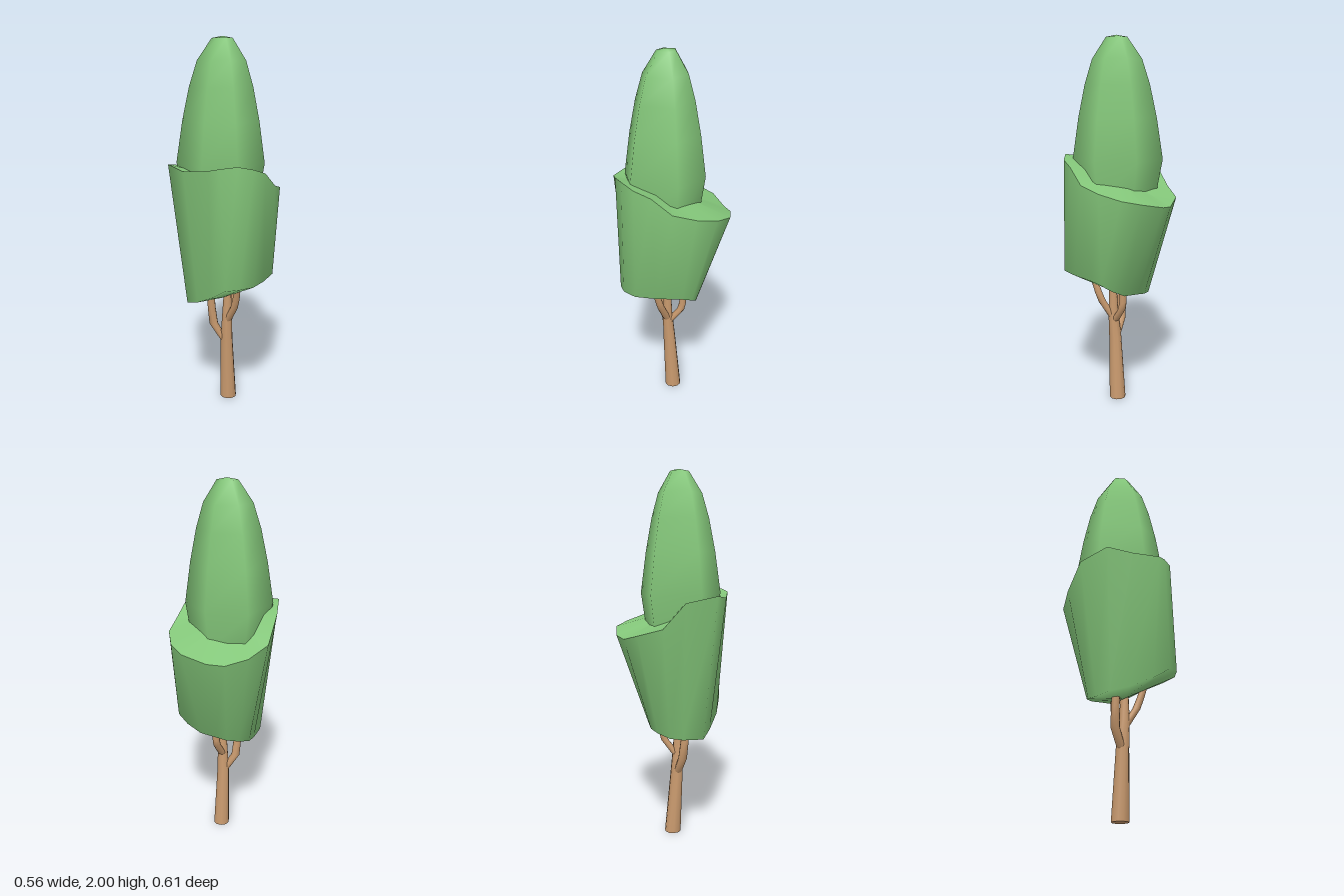
import * as THREE from 'three';

const leaf = new THREE.MeshStandardMaterial({ color: 0x84c77a, side: THREE.DoubleSide });
const bark = new THREE.MeshStandardMaterial({ color: 0xc99a6e });

// Skin a stack of closed rings (each an array of [x, y, z], running from +x towards +z).
function loft(name, rings, material) {
  const n = rings[0].length;
  const index = [];
  for (let r = 0; r < rings.length - 1; r++) {
    for (let i = 0; i < n; i++) {
      const j = (i + 1) % n;
      const a = r * n + i, b = r * n + j, c = a + n, d = b + n;
      index.push(a, c, b, b, c, d);
    }
  }
  const geometry = new THREE.BufferGeometry();
  geometry.setAttribute('position', new THREE.Float32BufferAttribute(rings.flat(2), 3));
  geometry.setIndex(index);
  geometry.computeVertexNormals();
  const mesh = new THREE.Mesh(geometry, material);
  mesh.name = name;
  return mesh;
}

const point = (p, n) => Array.from({ length: n }, () => p);

function circle([x, y, z, radius], sides = 10) {
  return Array.from({ length: sides }, (_, i) => {
    const a = (i / sides) * Math.PI * 2;
    return [x + Math.cos(a) * radius, y, z + Math.sin(a) * radius];
  });
}

// A limb follows stations of [x, y, z, radius].
const limb = (name, stations) => loft(name, stations.map((s) => circle(s)), bark);

function createTrunk() {
  const trunk = new THREE.Group();
  trunk.name = 'trunk';
  const foot = [0.02, 0, 0, 0.045];
  trunk.add(
    limb('stem', [foot, [0.018, 0.36, 0.022, 0.034], [0.024, 0.5, 0.03, 0.028], [0.028, 0.7, 0.03, 0.018]]),
    limb('leftFork', [[0.025, 0.47, 0.03, 0.022], [0.08, 0.57, 0.06, 0.021], [0.095, 0.62, 0.072, 0.02], [0.115, 0.71, 0.095, 0.017]]),
    limb('rightFork', [[0.01, 0.35, 0.025, 0.022], [-0.05, 0.45, 0.045, 0.024], [-0.058, 0.55, 0.055, 0.022], [-0.06, 0.68, 0.065, 0.02]]),
    limb('backFork', [[0.022, 0.46, 0.015, 0.022], [0.028, 0.54, -0.045, 0.021], [0.03, 0.58, -0.055, 0.02], [0.032, 0.7, -0.06, 0.018]]),
    loft('trunkBase', [point([0.02, 0, 0], 10), circle(foot)], bark),
  );
  return trunk;
}

// Lower crown: slanted rim on top, narrower lopsided underside.
function createLowerCrown() {
  const rim = [
    [0.278, 1.25, -0.01], [0.262, 1.33, 0.095], [0.235, 1.36, 0.185], [0.175, 1.38, 0.25],
    [0.095, 1.37, 0.29], [0.04, 1.36, 0.305], [-0.115, 1.34, 0.265], [-0.237, 1.36, 0.197],
    [-0.28, 1.33, 0.025], [-0.273, 1.2, -0.09], [-0.21, 1.16, -0.215], [-0.105, 1.13, -0.275],
    [-0.02, 1.14, -0.307], [0.12, 1.17, -0.3], [0.205, 1.19, -0.235], [0.265, 1.22, -0.13],
  ];
  const underside = [
    [0.255, 0.75, -0.06], [0.255, 0.75, 0.08], [0.24, 0.75, 0.19], [0.19, 0.75, 0.255],
    [0.12, 0.74, 0.28], [0.03, 0.68, 0.25], [-0.08, 0.62, 0.19], [-0.165, 0.59, 0.14],
    [-0.165, 0.59, 0.03], [-0.16, 0.6, -0.04], [-0.12, 0.62, -0.1], [-0.06, 0.63, -0.13],
    [0, 0.64, -0.135], [0.09, 0.65, -0.135], [0.17, 0.69, -0.13], [0.23, 0.73, -0.11],
  ];
  const crown = new THREE.Group();
  crown.name = 'lowerCrown';
  crown.add(
    loft('lowerFoliage', [point([0, 0.61, 0.05], 16), underside, rim], leaf),
    loft('lowerFoliageTop', [rim, point([0, 1.28, 0.04], 16)], leaf),
  );
  return crown;
}

// Upper crown: an uneven hexagon shrinking towards a blunt tip.
function createUpperCrown() {
  const plan = [[0.21, -0.035], [0.157, 0.207], [-0.02, 0.253], [-0.23, 0.115], [-0.18, -0.14], [0.04, -0.17]];
  const levels = [[1.15, 0.85], [1.36, 1], [1.58, 0.86], [1.75, 0.71], [1.88, 0.54], [1.99, 0.23], [2, 0]];
  const cx = 0, cz = 0.03;
  const rings = levels.map(([y, s]) => plan.map(([x, z]) => [cx + (x - cx) * s, y, cz + (z - cz) * s]));
  return loft('upperCrown', rings, leaf);
}

export function createModel() {
  const tree = new THREE.Group();
  tree.name = 'tree';
  tree.add(createTrunk(), createLowerCrown(), createUpperCrown());
  return tree;
}
